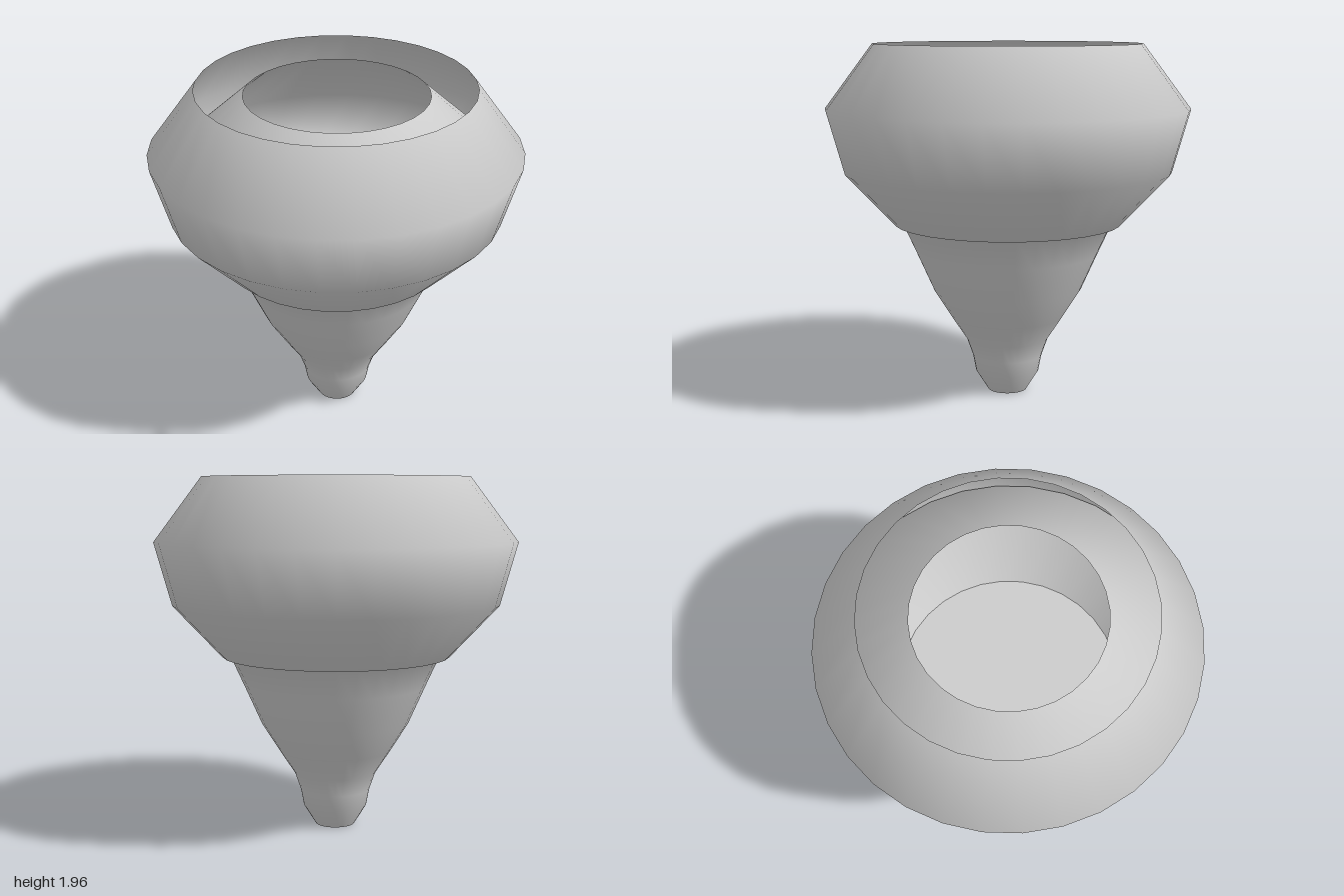
import * as THREE from 'three';

const SIDES = 32;

// Smooth surface of revolution from [radius, height] pairs, listed bottom to top
function turned(name, points, material) {
  const profile = points.map(([r, y]) => new THREE.Vector2(r, y));
  const mesh = new THREE.Mesh(new THREE.LatheGeometry(profile, SIDES), material);
  mesh.name = name;
  return mesh;
}

// Flat horizontal disc
function disc(name, radius, y, material) {
  const geometry = new THREE.CircleGeometry(radius, SIDES).rotateX(-Math.PI / 2);
  const mesh = new THREE.Mesh(geometry, material);
  mesh.name = name;
  mesh.position.y = y;
  return mesh;
}

export function createModel() {
  const group = new THREE.Group();
  group.name = 'vessel';
  const grey = new THREE.MeshStandardMaterial({ color: 0xcccccc, side: THREE.DoubleSide });

  // Wide outer collar, open at top and bottom
  group.add(turned('outerCollar', [
    [0.635, 0.97], [0.905, 1.26], [1, 1.605], [0.738, 1.955],
  ], grey));

  // Inner body: narrow foot, flaring stem, and a bulb narrowing to the mouth
  const body = new THREE.Group();
  body.name = 'innerBody';
  body.position.x = 0.006;
  body.add(
    turned('bodyWall', [
      [0.11, 0], [0.178, 0.11], [0.195, 0.2], [0.23, 0.3], [0.315, 0.43],
      [0.415, 0.59], [0.508, 0.8], [0.585, 0.97], [0.86, 1.26], [0.95, 1.5], [0.49, 1.91],
    ], grey),
    disc('footBase', 0.11, 0, grey),
    disc('bowlFloor', 0.61, 1.0, grey),
  );
  group.add(body);

  return group;
}
